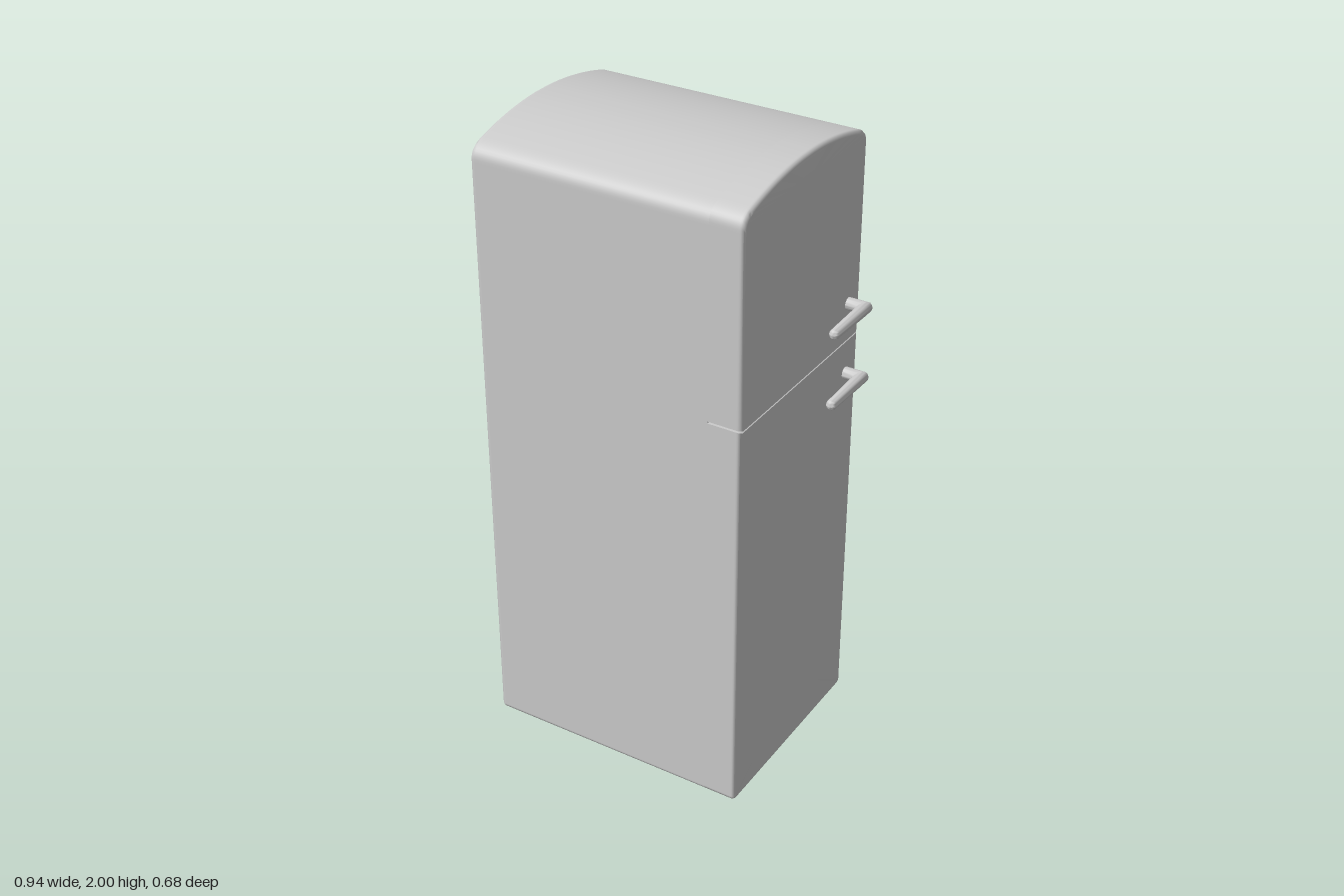
import * as THREE from 'three';
import { toCreasedNormals } from 'three/addons/utils/BufferGeometryUtils.js';

const HALF = 0.34, SPLIT = 1.31, GAP = 0.003, JOINT = 0.29;
const material = new THREE.MeshStandardMaterial({ color: 0xcccccc });

// Closed skin through a row of equal-length rings of [x, y, z] points
function loft(name, rings) {
  const pos = [];
  const tri = (...p) => p.forEach((v) => pos.push(...v));
  const centre = (ring) => [0, 1, 2].map((k) => ring.reduce((s, p) => s + p[k], 0) / ring.length);
  const n = rings[0].length, last = rings[rings.length - 1];
  const c0 = centre(rings[0]), c1 = centre(last);
  for (let i = 0; i < n; i++) {
    const j = (i + 1) % n;
    for (let r = 0; r < rings.length - 1; r++) {
      const a = rings[r], b = rings[r + 1];
      tri(a[i], a[j], b[j]);
      tri(a[i], b[j], b[i]);
    }
    tri(c0, rings[0][j], rings[0][i]);
    tri(c1, last[i], last[j]);
  }
  const geometry = new THREE.BufferGeometry();
  geometry.setAttribute('position', new THREE.Float32BufferAttribute(pos, 3));
  const mesh = new THREE.Mesh(toCreasedNormals(geometry, 0.9), material);
  mesh.name = name;
  return mesh;
}

// Symmetric outline (width, height): rounded foot or flat cut, arched top or flat cut
function outline(bottom, top) {
  const half = [];
  if (bottom === 0) {
    half.push([0.326, 0], [0.33, 0], [0.337, 0.003], [HALF, 0.01], [HALF, 0.014]);
  } else half.push([HALF, bottom]);
  if (top === 2) {
    half.push([HALF, 1.9]);
    const corner = new THREE.QuadraticBezierCurve(
      new THREE.Vector2(HALF, 1.91), new THREE.Vector2(HALF, 1.944), new THREE.Vector2(0.29, 1.958));
    corner.getPoints(8).forEach((p) => half.push([p.x, p.y]));
    const R = 1.02;
    for (let i = 1; i < 10; i++) {
      const u = 0.29 * (1 - i / 10);
      half.push([u, 2 - R + Math.sqrt(R * R - u * u)]);
    }
  } else half.push([HALF, top]);
  return [...half, ...half.slice().reverse().map(([u, y]) => [-u, y])];
}

// Prism along x; every station is [x, inset]
function prism(name, profile, stations) {
  return loft(name, stations.map(([x, inset]) => profile.map(([u, y]) =>
    [x, 1 + (y - 1) * (1 - inset), -u * (1 - inset / HALF)])));
}

// Angled handle: a post out of the door, a tight bend, and a tapered grip
function handle(name, y) {
  const cx = 0.449, cz = -0.269, R = 0.019, TIP = 0.016, end = -0.086, clip = 0.011;
  const ring = (point) => Array.from({ length: 24 }, (_, i) => {
    const a = (i / 24) * Math.PI * 2;
    return point(Math.cos(a), Math.sin(a));
  });
  const grip = (z, r) => ring((c, s) => [cx + r * c, y + r * s, z]);
  const rings = [
    ring((c, s) => [0.38, y + R * s, cz - R * c]),
    ring((c, s) => [cx + Math.min(R * c, clip) - 0.001, y + R * s, cz - R * c]),
    ring((c, s) => [cx + R * c, y + R * s, cz - Math.min(R * c, clip) + 0.001]),
    grip(-0.24, R), grip(end, TIP),
  ];
  for (let i = 1; i < 6; i++) {
    const t = (i / 6) * Math.PI / 2;
    rings.push(grip(end + TIP * Math.sin(t), TIP * Math.cos(t)));
  }
  return loft(name, rings);
}

export function createModel() {
  const group = new THREE.Group();
  group.name = 'refrigerator';

  // Softly bevelled end, listed from the flat face inward
  const bevel = [[0, 0.014], [0, 0.01], [0.003, 0.003], [0.01, 0], [0.015, 0]];
  const doorStations = [[JOINT, 0], ...bevel.map(([d, inset]) => [0.395 - d, inset]).reverse()];

  // Cabinet and the two doors, parted by a thin slot
  group.add(
    prism('cabinet', outline(0, 2), [...bevel.map(([d, inset]) => [-0.47 + d, inset]), [JOINT, 0]]),
    prism('upperDoor', outline(SPLIT + GAP, 2), doorStations),
    prism('lowerDoor', outline(0, SPLIT - GAP), doorStations),
    handle('upperHandle', 1.43),
    handle('lowerHandle', 1.2),
  );
  return group;
}
